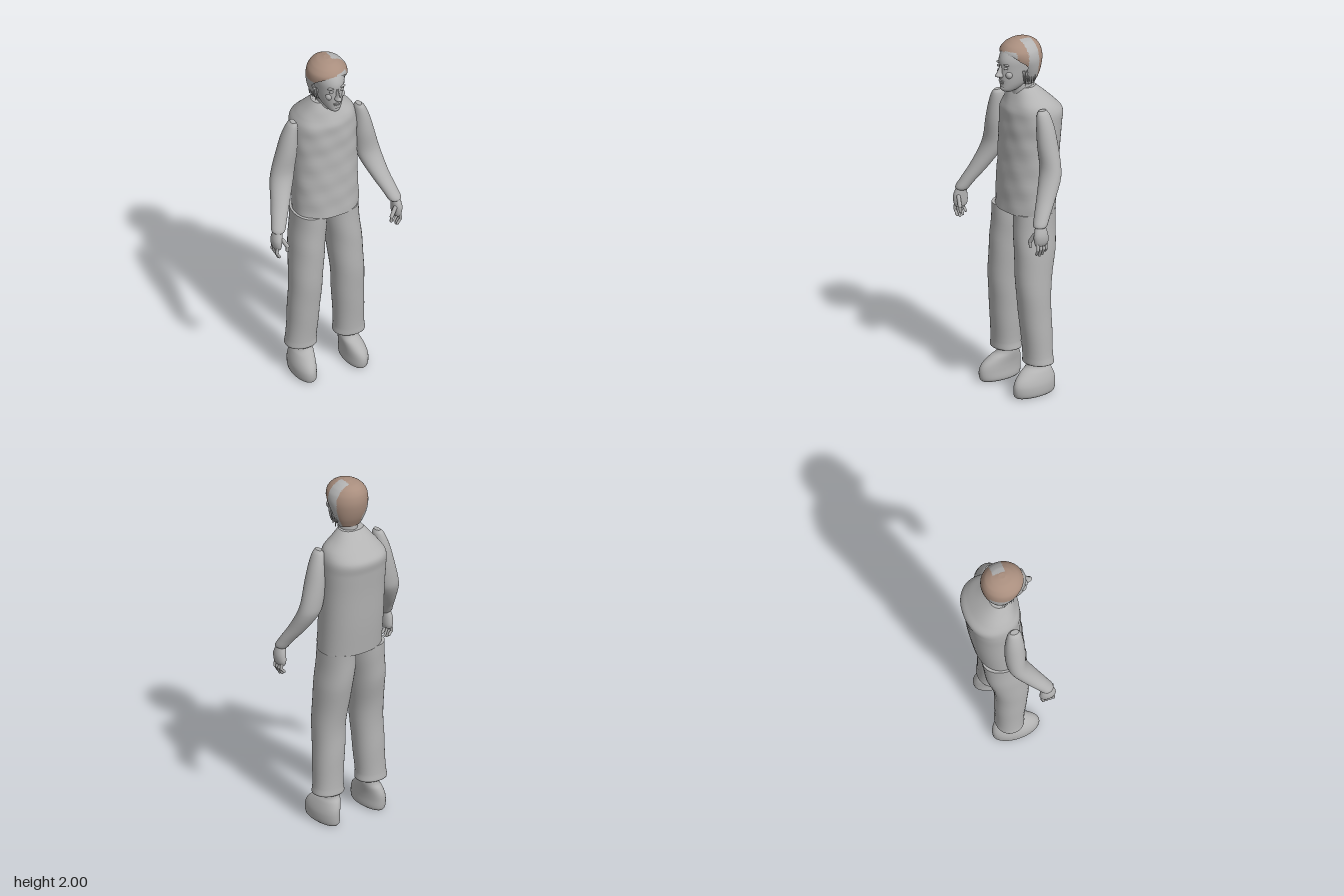
import * as THREE from 'three';

const grey = new THREE.MeshStandardMaterial({ color: 0xb4b4b4, side: THREE.DoubleSide });
grey.name = 'plain grey';
const brown = new THREE.MeshStandardMaterial({ color: 0xa98e7e, side: THREE.DoubleSide });
brown.name = 'hair brown';

// Smooth skin over horizontal rings [y, x0, x1, z0, z1], listed from the bottom up.
function loft(rings, { sides = 36, steps = 4, power = 2, caps = true, bump, keep } = {}) {
  const mid = new THREE.CatmullRomCurve3(rings.map(([y, a, b, c, d]) => new THREE.Vector3((a + b) / 2, y, (c + d) / 2)));
  const rad = new THREE.CatmullRomCurve3(rings.map(([y, a, b, c, d]) => new THREE.Vector3((b - a) / 2, y, (d - c) / 2)));
  const rows = (rings.length - 1) * steps;
  const pos = [], idx = [];
  const soft = v => Math.sign(v) * Math.pow(Math.abs(v), 2 / power);
  for (let i = 0; i <= rows; i++) {
    const m = mid.getPoint(i / rows), r = rad.getPoint(i / rows);
    for (let j = 0; j < sides; j++) {
      const a = (j / sides) * Math.PI * 2;
      const dx = soft(Math.cos(a)) * r.x, dz = soft(Math.sin(a)) * r.z;
      const k = bump ? bump(m.x + dx, m.y, m.z + dz) : 1;
      pos.push(m.x + dx * k, m.y, m.z + dz * k);
    }
  }
  const tri = (a, b, c) => {
    const avg = n => (pos[a * 3 + n] + pos[b * 3 + n] + pos[c * 3 + n]) / 3;
    if (!keep || keep(avg(0), avg(1), avg(2))) idx.push(a, b, c);
  };
  for (let i = 0; i < rows; i++) {
    for (let j = 0; j < sides; j++) {
      const a = i * sides + j, b = i * sides + (j + 1) % sides;
      tri(a, a + sides, b);
      tri(b, a + sides, b + sides);
    }
  }
  // End caps have their own corners so the rims stay crisp
  if (caps) for (const row of [0, rows]) {
    const first = pos.length / 3, m = mid.getPoint(row / rows);
    for (let j = 0; j < sides; j++) pos.push(...pos.slice((row * sides + j) * 3, (row * sides + j) * 3 + 3));
    const centre = pos.length / 3;
    pos.push(m.x, m.y, m.z);
    for (let j = 0; j < sides; j++) {
      const a = first + j, b = first + (j + 1) % sides;
      row === 0 ? tri(centre, a, b) : tri(centre, b, a);
    }
  }
  const g = new THREE.BufferGeometry();
  g.setAttribute('position', new THREE.Float32BufferAttribute(pos, 3));
  g.setIndex(idx);
  g.computeVertexNormals();
  return g;
}

export function createModel() {
  const model = new THREE.Group();
  const add = (name, geometry, material = grey) => {
    const mesh = new THREE.Mesh(geometry, material);
    mesh.name = name;
    model.add(mesh);
    return mesh;
  };
  // Rounded rod between two points
  const rod = (name, a, b, r) => {
    const p = new THREE.Vector3(...a), q = new THREE.Vector3(...b), d = q.clone().sub(p);
    const mesh = add(name, new THREE.CapsuleGeometry(r, d.length(), 4, 10));
    mesh.position.copy(p).add(q).multiplyScalar(0.5);
    mesh.quaternion.setFromUnitVectors(new THREE.Vector3(0, 1, 0), d.normalize());
  };
  const blob = (name, x, y, z, sx, sy, sz) => {
    const mesh = add(name, new THREE.SphereGeometry(1, 16, 12));
    mesh.position.set(x, y, z);
    mesh.scale.set(sx, sy, sz);
  };

  // Shirt with soft creases on the front
  add('shirt', loft([
    [1.025, -0.168, 0.198, -0.14, 0.13], [1.2, -0.168, 0.198, -0.16, 0.122],
    [1.4, -0.166, 0.198, -0.176, 0.112], [1.52, -0.168, 0.2, -0.188, 0.108],
    [1.59, -0.16, 0.196, -0.194, 0.104], [1.635, -0.135, 0.175, -0.155, 0.09],
    [1.68, -0.1, 0.122, -0.11, 0.072], [1.725, -0.066, 0.072, -0.06, 0.05],
  ], {
    sides: 64, steps: 7, power: 2.25,
    bump: (x, y, z) => z > 0 ? 1 + 0.018 * Math.min(1, z / 0.06) * Math.sin(y * 42 + x * 18) * Math.sin(x * 30 - y * 13) : 1,
  }));

  // Arms, hands, trouser legs and shoes, mirrored
  for (const side of [1, -1]) {
    const tag = side > 0 ? 'left' : 'right';
    const shift = side > 0 ? 0 : 0.01;
    const mx = x => side * x + shift;
    const flip = rings => rings.map(([y, a, b, c, d]) =>
      [y, Math.min(mx(a), mx(b)), Math.max(mx(a), mx(b)), c, d]);

    add(tag + 'Sleeve', loft(flip([
      [1.045, 0.322, 0.374, 0.12, 0.175], [1.055, 0.312, 0.385, 0.11, 0.185],
      [1.1, 0.29, 0.375, 0.08, 0.165], [1.18, 0.248, 0.352, 0.02, 0.122],
      [1.28, 0.202, 0.332, -0.037, 0.076], [1.34, 0.188, 0.318, -0.046, 0.062],
      [1.45, 0.176, 0.29, -0.046, 0.066], [1.55, 0.174, 0.262, -0.036, 0.062],
      [1.62, 0.176, 0.232, -0.018, 0.054], [1.64, 0.186, 0.214, -0.004, 0.044],
    ])));

    // Palm, four fingers and thumb
    add(tag + 'Hand', loft(flip([
      [0.95, 0.338, 0.378, 0.112, 0.184], [0.97, 0.334, 0.386, 0.105, 0.192],
      [1.01, 0.332, 0.388, 0.108, 0.194], [1.07, 0.33, 0.37, 0.125, 0.172],
    ]), { sides: 20 }));
    for (let f = 0; f < 4; f++) {
      const z = 0.121 + f * 0.019, tip = [0.91, 0.895, 0.89, 0.9][f];
      rod(tag + 'Finger', [mx(0.366), 0.965, z], [mx(0.372), 0.93, z], 0.0085);
      rod(tag + 'Fingertip', [mx(0.372), 0.93, z], [mx(0.354), tip, z - 0.002], 0.0075);
    }
    rod(tag + 'Thumb', [mx(0.34), 1.01, 0.178], [mx(0.314), 0.965, 0.188], 0.011);
    rod(tag + 'ThumbTip', [mx(0.314), 0.965, 0.188], [mx(0.313), 0.935, 0.185], 0.009);

    add(tag + 'TrouserLeg', loft(flip([
      [0.19, 0.075, 0.215, -0.055, 0.07], [0.178, 0.058, 0.235, -0.07, 0.084],
      [0.22, 0.062, 0.23, -0.068, 0.086], [0.4, 0.05, 0.223, -0.068, 0.102],
      [0.6, 0.038, 0.217, -0.07, 0.12], [0.8, 0.02, 0.209, -0.108, 0.122],
      [0.92, 0.009, 0.198, -0.12, 0.12], [1.03, 0.004, 0.19, -0.126, 0.118],
    ]), {
      power: 2.15,
      bump: (x, y) => 1 + 0.01 * Math.sin(y * 28 + x * 20),
    }));

    add(tag + 'Shoe', loft(flip([
      [0, 0.108, 0.204, -0.075, 0.155], [0.012, 0.095, 0.217, -0.085, 0.168],
      [0.06, 0.095, 0.22, -0.09, 0.172], [0.095, 0.094, 0.212, -0.088, 0.156],
      [0.13, 0.09, 0.197, -0.076, 0.115], [0.155, 0.088, 0.182, -0.06, 0.075],
      [0.2, 0.09, 0.186, -0.052, 0.06],
    ])));

    // Eye, lid and brow
    const ex = 0.01 + side * 0.031;
    blob('eye', ex, 1.858, 0.143, 0.013, 0.007, 0.009);
    blob('brow', ex, 1.878, 0.141, 0.021, 0.006, 0.011);
    blob('cheek', 0.01 + side * 0.036, 1.82, 0.125, 0.02, 0.022, 0.02);
  }

  // Neck and head
  add('neck', loft([
    [1.62, -0.045, 0.065, -0.06, 0.068], [1.68, -0.042, 0.062, -0.05, 0.068],
    [1.73, -0.04, 0.06, -0.045, 0.075], [1.8, -0.04, 0.06, -0.045, 0.09],
  ]));
  add('head', loft([
    [1.712, -0.008, 0.028, 0.075, 0.125], [1.727, -0.026, 0.046, 0.03, 0.148],
    [1.76, -0.046, 0.066, -0.02, 0.151], [1.8, -0.058, 0.078, -0.055, 0.154],
    [1.85, -0.066, 0.086, -0.075, 0.153], [1.9, -0.07, 0.09, -0.082, 0.152],
    [1.95, -0.062, 0.082, -0.07, 0.127], [1.98, -0.04, 0.06, -0.04, 0.088],
    [1.991, -0.01, 0.03, 0, 0.04],
  ]));
  add('nose', loft([
    [1.803, -0.003, 0.023, 0.135, 0.166], [1.814, -0.008, 0.028, 0.13, 0.189],
    [1.832, 0, 0.02, 0.125, 0.18], [1.872, 0.003, 0.017, 0.12, 0.159],
  ], { sides: 16 }));
  blob('upperLip', 0.01, 1.78, 0.147, 0.022, 0.005, 0.012);
  blob('lowerLip', 0.01, 1.77, 0.146, 0.019, 0.005, 0.011);
  blob('chin', 0.01, 1.74, 0.135, 0.021, 0.013, 0.019);

  // Hair shell, open around the face and split into its two colours
  const hair = [
    [1.75, -0.058, 0.078, -0.05, 0.045], [1.8, -0.08, 0.1, -0.075, 0.07],
    [1.85, -0.095, 0.115, -0.09, 0.1], [1.9, -0.1, 0.122, -0.096, 0.13],
    [1.94, -0.094, 0.114, -0.09, 0.136], [1.97, -0.072, 0.092, -0.073, 0.115],
    [1.99, -0.042, 0.062, -0.042, 0.08], [2, -0.005, 0.025, 0, 0.04],
  ];
  const hairline = y => 0.045 + 0.1 * THREE.MathUtils.smoothstep(y, 1.85, 1.965);
  const isGrey = (x, y, z) =>
    (x > 0.03 && z > -0.025 && z < 0.045) ||
    (x < -0.02 && y < 1.89 && z > -0.075) ||
    (x > 0.02 && z > 0.1 && y < 1.95);
  const shell = want => loft(hair, {
    sides: 80, steps: 6,
    keep: (x, y, z) => z < hairline(y) && isGrey(x, y, z) === want,
  });
  add('hair', shell(false), brown);
  add('hairBand', shell(true));

  // Loose strands hanging beside the face
  for (let i = 0; i < 14; i++) {
    const s = i % 2 ? 1 : -1, k = Math.floor(i / 2);
    const len = 0.06 + 0.03 * Math.abs(Math.sin(i * 2.7));
    const strand = add('hairStrand', new THREE.ConeGeometry(0.008, len, 6));
    strand.position.set(0.01 + s * (0.088 - 0.002 * k), 1.8 - 0.006 * (k % 3), -0.01 + k * 0.011);
    strand.rotation.set(Math.PI, 0, s * 0.15 * Math.sin(i * 1.9));
  }
  return model;
}
